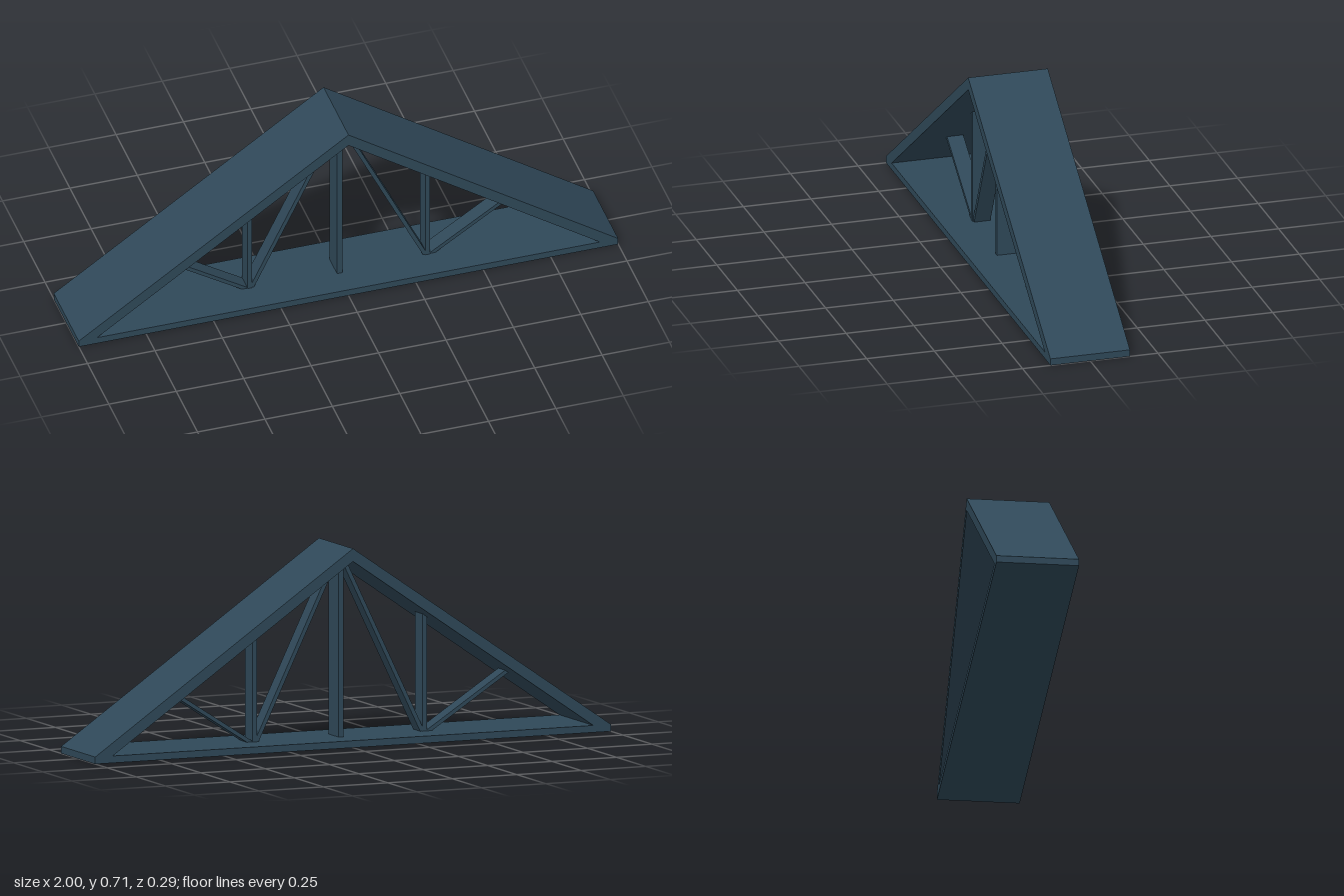
import * as THREE from 'three';

export function createModel() {
  const group = new THREE.Group();
  group.name = 'roofTruss';
  const steel = new THREE.MeshStandardMaterial({ color: 0x2f4858 });
  steel.name = 'slate blue';

  const depth = 0.294;

  // Outer frame: both rafters and the bottom chord as one triangular band
  const outline = new THREE.Shape([
    [-1, 0], [1, 0], [1, 0.025], [0, 0.711], [-1, 0.025],
  ].map(([x, y]) => new THREE.Vector2(x, y)));
  outline.holes.push(new THREE.Path([
    [-0.932, 0.025], [0, 0.665], [0.932, 0.025],
  ].map(([x, y]) => new THREE.Vector2(x, y))));
  const frameGeometry = new THREE.ExtrudeGeometry(outline, { depth, bevelEnabled: false });
  frameGeometry.translate(0, 0, -depth / 2);
  const frame = new THREE.Mesh(frameGeometry, steel);
  frame.name = 'frame';
  group.add(frame);

  // Straight web member between two points in the truss plane
  function member(name, x1, y1, x2, y2, thickness, width) {
    const length = Math.hypot(x2 - x1, y2 - y1);
    const mesh = new THREE.Mesh(new THREE.BoxGeometry(thickness, length, width), steel);
    mesh.position.set((x1 + x2) / 2, (y1 + y2) / 2, 0);
    mesh.rotation.z = -Math.atan2(x2 - x1, y2 - y1);
    mesh.name = name;
    group.add(mesh);
  }

  member('kingPost', 0, 0.015, 0, 0.685, 0.02, 0.088);

  // Mirrored posts and diagonal struts
  for (const [side, s] of [['left', 1], ['right', -1]]) {
    member(side + 'Post', s * 0.33, 0.015, s * 0.33, 0.46, 0.017, 0.066);
    member(side + 'InnerStrut', s * 0.325, 0.018, s * 0.004, 0.68, 0.015, 0.06);
    member(side + 'OuterStrut', s * 0.335, 0.018, s * 0.665, 0.23, 0.014, 0.06);
  }

  return group;
}
